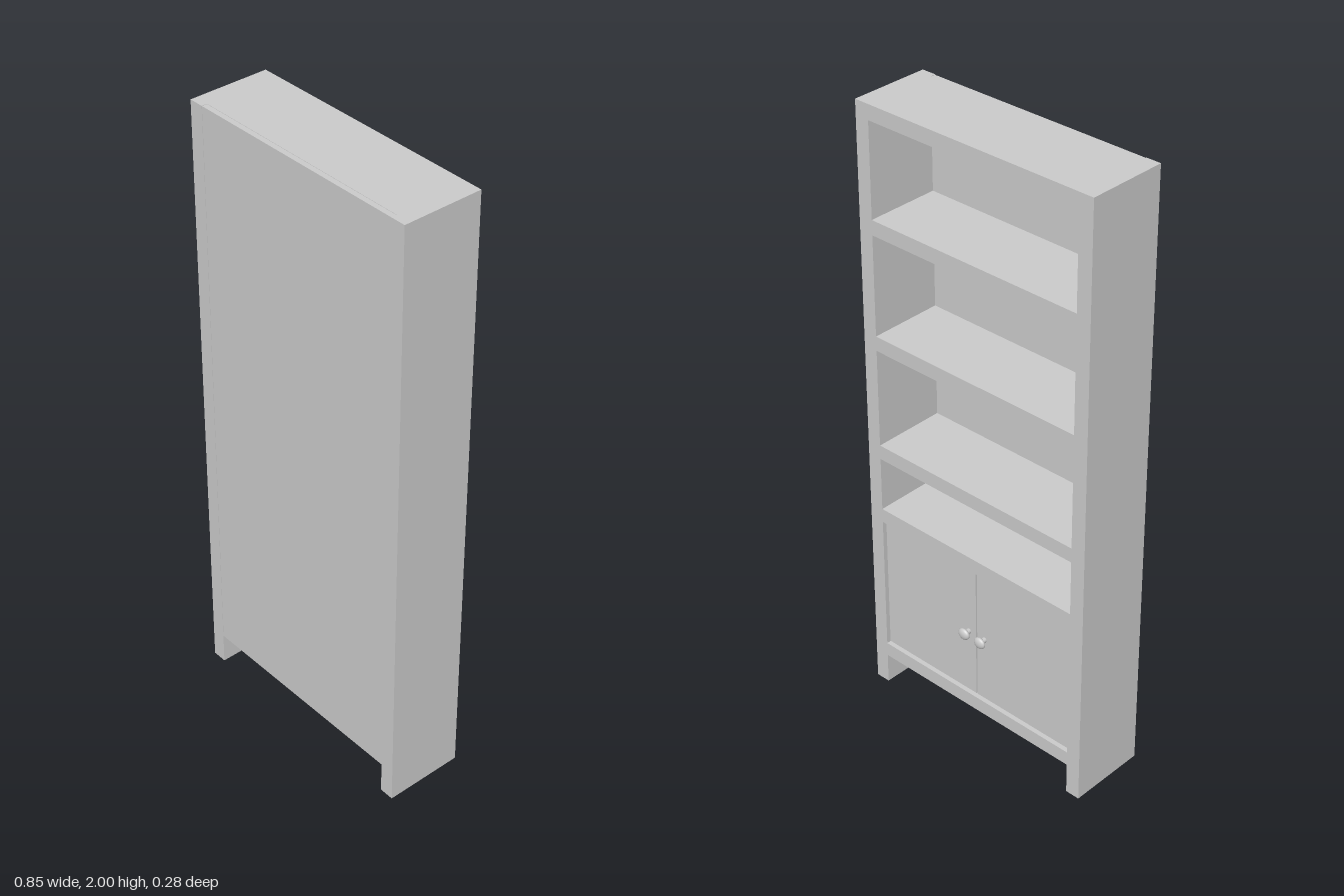
import * as THREE from 'three';

const material = new THREE.MeshStandardMaterial({ color: 0xcccccc });

export function createModel() {
  const model = new THREE.Group();
  model.name = 'bookcase';

  // Box given by its minimum and maximum corners
  const box = (name, [x0, y0, z0], [x1, y1, z1], parent = model) => {
    const mesh = new THREE.Mesh(new THREE.BoxGeometry(x1 - x0, y1 - y0, z1 - z0), material);
    mesh.position.set((x0 + x1) / 2, (y0 + y1) / 2, (z0 + z1) / 2);
    mesh.name = name;
    parent.add(mesh);
    return mesh;
  };

  const outer = 0.425, inner = 0.377; // half widths
  const open = -0.12, closed = 0.14; // open and closed faces in z
  const panelInside = 0.122;

  // Side boards reach the floor
  box('leftSide', [inner, 0, open], [outer, 2, closed]);
  box('rightSide', [-outer, 0, open], [-inner, 2, closed]);

  // Closed panel, just inset between the sides
  box('backPanel', [-inner, 0.105, panelInside], [inner, 1.999, closed - 0.001]);

  // Top, shelves and bottom board
  const boards = { topBoard: 2, shelf1: 1.65, shelf2: 1.275, shelf3: 0.9, cupboardTop: 0.67, bottomBoard: 0.153 };
  for (const [name, top] of Object.entries(boards)) {
    box(name, [-inner, top - 0.048, open], [inner, top, panelInside]);
  }

  // Pair of cupboard doors with flattened round knobs
  const middle = -0.0025, doorFace = open + 0.01;
  for (const side of [1, -1]) {
    const door = new THREE.Group();
    door.name = side > 0 ? 'leftDoor' : 'rightDoor';
    model.add(door);

    const edges = [middle + side * 0.0025, side * (inner - 0.005)].sort((a, b) => a - b);
    box('doorPanel', [edges[0], 0.159, doorFace], [edges[1], 0.616, doorFace + 0.018], door);

    const knobX = middle + side * 0.032;
    const stem = new THREE.Mesh(new THREE.CylinderGeometry(0.009, 0.009, 0.022, 16), material);
    stem.rotation.x = Math.PI / 2;
    stem.position.set(knobX, 0.385, doorFace - 0.01);
    stem.name = 'knobStem';
    const knob = new THREE.Mesh(new THREE.SphereGeometry(0.021, 24, 16), material);
    knob.scale.set(1, 0.9, 0.5);
    knob.position.set(knobX, 0.385, -0.1315);
    knob.name = 'knob';
    door.add(stem, knob);
  }

  return model;
}
